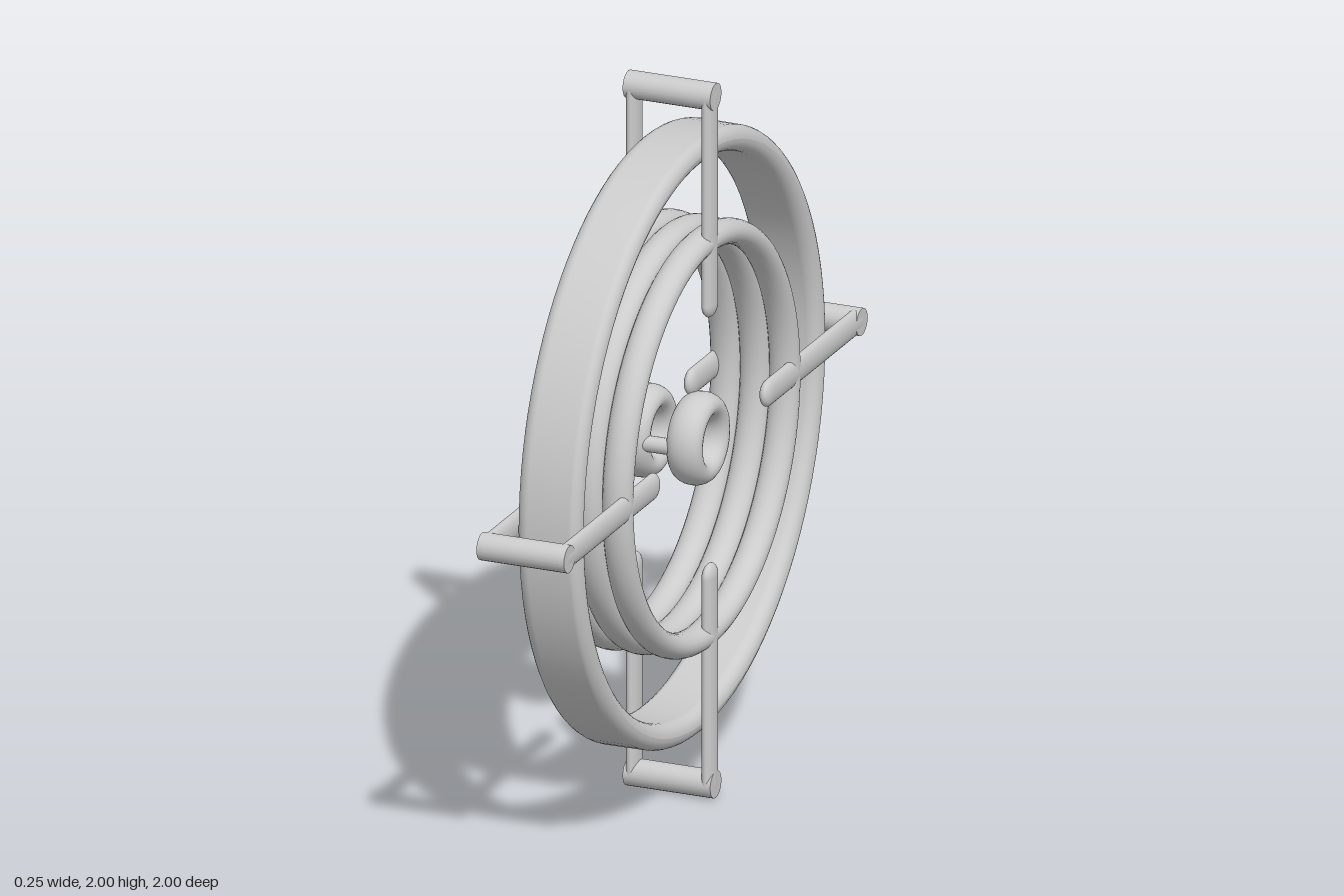
import * as THREE from 'three';

const material = new THREE.MeshStandardMaterial({ color: 0xcccccc });

function add(parent, geometry, name) {
  const mesh = new THREE.Mesh(geometry, material);
  mesh.name = name;
  parent.add(mesh);
  return mesh;
}

// Ring around the x axis with an elliptical section
function ring(parent, name, radius, tube, halfWidth, x) {
  const geometry = new THREE.TorusGeometry(radius, tube, 20, 96);
  geometry.rotateY(Math.PI / 2);
  geometry.scale(halfWidth / tube, 1, 1);
  add(parent, geometry, name).position.x = x;
}

// Ring around the x axis with a wide, round-edged section
function bandRing(parent, name, radius, thickness, halfWidth) {
  const points = [];
  const straight = halfWidth - thickness;
  for (let i = 0; i <= 24; i++) {
    const a = (i / 24) * Math.PI * 2;
    const side = i < 6 || i >= 18 ? 1 : -1;
    points.push(new THREE.Vector2(radius + thickness * Math.sin(a), side * straight + thickness * Math.cos(a)));
  }
  points.reverse();
  // Lathe runs with the section counter-clockwise so that faces point outward
  const geometry = new THREE.LatheGeometry(points.reverse().map((p) => new THREE.Vector2(p.x, -p.y)), 96);
  geometry.rotateZ(Math.PI / 2);
  add(parent, geometry, name);
}

export function createModel() {
  const model = new THREE.Group();
  const wheel = new THREE.Group();
  wheel.name = 'ringAssembly';
  wheel.position.y = 1;
  model.add(wheel);

  // Broad outer ring
  bandRing(wheel, 'outerRing', 0.795, 0.036, 0.09);

  // Inner ring made of three coils side by side
  for (const x of [-0.084, 0, 0.084]) ring(wheel, 'innerCoil', 0.55, 0.035, 0.042, x);

  // Hub: two small rings joined by short bars
  for (const s of [-1, 1]) {
    ring(wheel, 'hubRing', 0.09, 0.035, 0.05, s * 0.075);
    const bar = new THREE.CylinderGeometry(0.022, 0.022, 0.15, 16);
    bar.rotateZ(Math.PI / 2);
    add(wheel, bar, 'hubBar').position.z = s * 0.09;
  }

  // Four clips straddling the rings
  for (let i = 0; i < 4; i++) {
    const clip = new THREE.Group();
    clip.name = 'clip';
    clip.rotation.x = (i * Math.PI) / 2;
    wheel.add(clip);
    for (const s of [-1, 1]) {
      const prong = new THREE.CapsuleGeometry(0.0375, 0.58, 8, 20);
      prong.scale(0.48, 1, 1);
      add(clip, prong, 'clipProng').position.set(s * 0.108, 0.6725, 0);
    }
    const bridge = new THREE.CylinderGeometry(0.0375, 0.0375, 0.25, 20);
    bridge.rotateZ(Math.PI / 2);
    add(clip, bridge, 'clipBridge').position.y = 0.9625;
  }
  return model;
}
